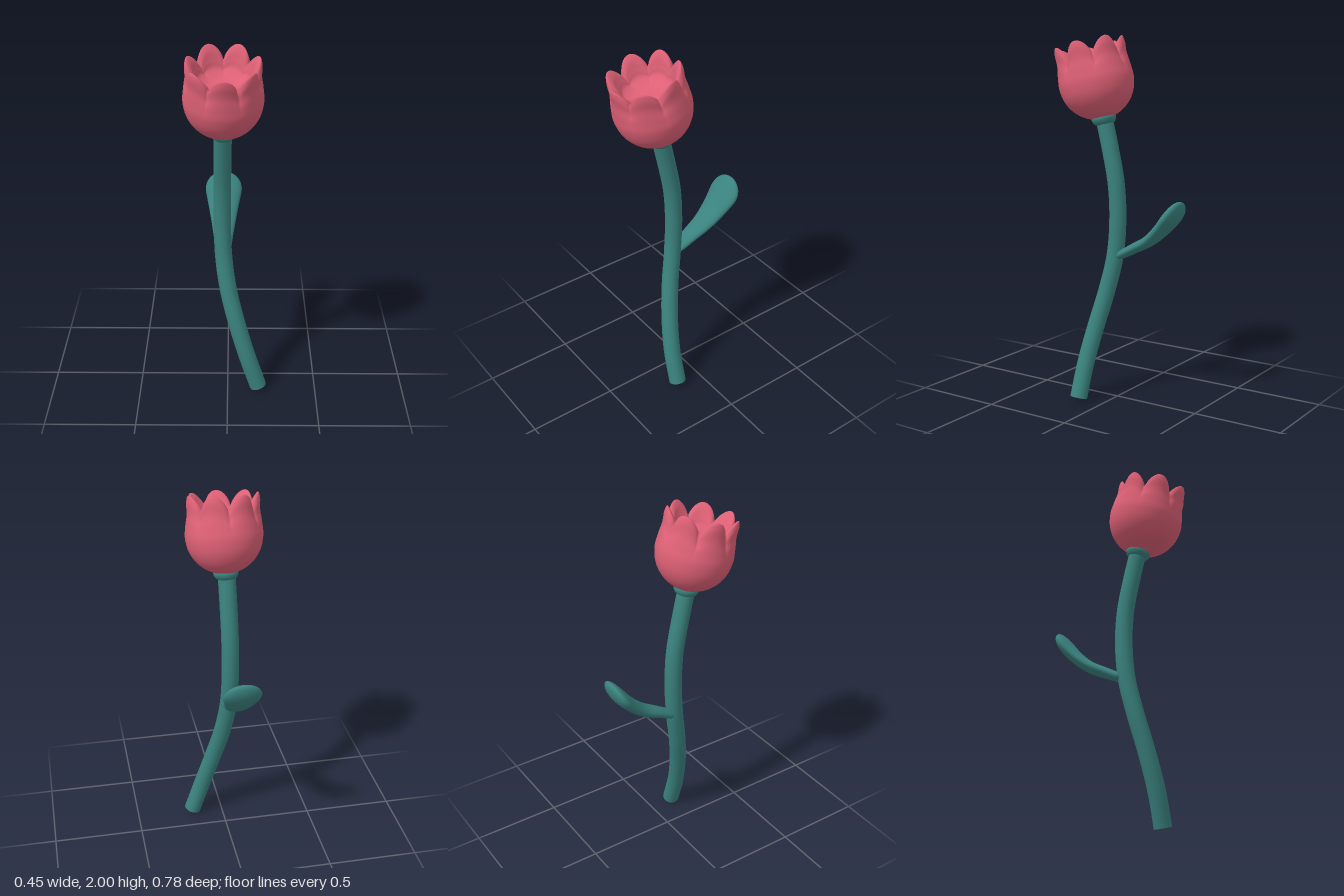
import * as THREE from 'three';
import { mergeVertices } from 'three/addons/utils/BufferGeometryUtils.js';

const teal = new THREE.MeshStandardMaterial({ color: 0x3a827e });
const red = new THREE.MeshStandardMaterial({ color: 0xdd6075 });
const V = (x, y, z) => new THREE.Vector3(x, y, z);

function part(name, geometry, material) {
  const mesh = new THREE.Mesh(geometry, material);
  mesh.name = name;
  return mesh;
}

// Smooth skin over closed rings; point(t, angle) gives a position, t from 0 to 1
function loft(rows, sides, point) {
  const pos = [], index = [];
  for (let j = 0; j <= rows; j++) {
    for (let i = 0; i < sides; i++) pos.push(...point(j / rows, (i / sides) * Math.PI * 2).toArray());
  }
  for (let j = 0; j < rows; j++) {
    for (let i = 0; i < sides; i++) {
      const a = j * sides + i, b = j * sides + ((i + 1) % sides);
      index.push(a, b, b + sides, a, b + sides, a + sides);
    }
  }
  let g = new THREE.BufferGeometry();
  g.setAttribute('position', new THREE.Float32BufferAttribute(pos, 3));
  g.setIndex(index);
  g = mergeVertices(g, 1e-5);
  g.computeVertexNormals();
  return g;
}

// Curved stem with a flat cut end
function makeStem() {
  const stem = new THREE.Group();
  stem.name = 'stem';
  const path = new THREE.CatmullRomCurve3([
    V(0.175, 0.018, 0.143), V(0.115, 0.2, 0.137), V(0.055, 0.4, 0.11), V(0.005, 0.6, 0.07),
    V(-0.023, 0.8, 0.032), V(-0.03, 1.0, 0.018), V(-0.03, 1.2, 0.028), V(-0.028, 1.4, 0.067), V(-0.025, 1.58, 0.11),
  ]);
  stem.add(part('stalk', new THREE.TubeGeometry(path, 48, 0.048, 14), teal));
  const cut = part('cutEnd', new THREE.CircleGeometry(0.048, 14), teal);
  cut.position.copy(path.getPoint(0));
  cut.quaternion.setFromUnitVectors(V(0, 0, 1), path.getTangent(0).negate());
  stem.add(cut);
  return stem;
}

// Thick spoon-shaped leaf: ellipses along a rising path
function makeLeaf() {
  const path = new THREE.CatmullRomCurve3([
    V(-0.026, 0.8, 0.015), V(-0.026, 0.855, -0.09), V(-0.026, 0.91, -0.19),
    V(-0.026, 0.99, -0.28), V(-0.026, 1.065, -0.34), V(-0.026, 1.135, -0.375),
  ]);
  // x: half width, y: half thickness
  const size = new THREE.CatmullRomCurve3([
    V(0.04, 0.024, 0), V(0.052, 0.028, 0), V(0.066, 0.031, 0), V(0.084, 0.035, 0), V(0.104, 0.038, 0), V(0.115, 0.037, 0),
  ]);
  return part('leaf', loft(48, 32, (t, a) => {
    // slow down near both ends so that they close roundly
    const u = 0.5 - 0.5 * Math.cos(Math.PI * t);
    const c = path.getPointAt(u), d = path.getTangentAt(u), s = size.getPoint(u);
    const tip = Math.sqrt(Math.max(0, 1 - Math.max(0, (u - 0.78) / 0.22) ** 2));
    const root = Math.sqrt(Math.max(0, 1 - Math.max(0, (0.06 - u) / 0.06) ** 2));
    const k = tip * root, h = s.y * k * Math.cos(a);
    return V(c.x + s.x * k * Math.sin(a), c.y - d.z * h, c.z + d.y * h);
  }), teal);
}

// Cup with seven rounded petal tips
function makeBlossom() {
  // x: radius, y: height, z: how strongly the petals shape this level
  const profile = new THREE.CatmullRomCurve3([
    V(0, 0.0, 0), V(0.06, 0.008, 0), V(0.115, 0.034, 0), V(0.16, 0.075, 0), V(0.192, 0.13, 0),
    V(0.206, 0.195, 0), V(0.201, 0.25, 0.08), V(0.185, 0.295, 0.4), V(0.177, 0.325, 0.8),
    V(0.163, 0.337, 1), V(0.145, 0.328, 0.85), V(0.13, 0.31, 0.45), V(0.112, 0.295, 0.12),
    V(0.06, 0.282, 0), V(0, 0.28, 0),
  ]);
  return part('petals', loft(72, 168, (t, a) => {
    const p = profile.getPoint(t);
    const lobe = Math.pow(Math.abs(Math.cos(3.5 * a)), 0.7);
    const r = t === 0 || t === 1 ? 0 : Math.max(0, p.x + p.z * 0.03 * (lobe - 0.2));
    return V(r * Math.sin(a), p.y + p.z * 0.085 * lobe, r * Math.cos(a));
  }), red);
}

export function createModel() {
  const model = new THREE.Group();
  model.name = 'flower';
  model.add(makeStem(), makeLeaf());

  // Flower head, leaning forward
  const head = new THREE.Group();
  head.name = 'flowerHead';
  head.position.set(-0.022, 1.555, 0.103);
  head.rotation.x = 0.245;
  const ring = [[0.044, -0.03], [0.056, -0.024], [0.066, -0.008], [0.068, 0.006], [0.062, 0.018], [0.04, 0.024]];
  head.add(part('collar', new THREE.LatheGeometry(ring.map(([r, y]) => new THREE.Vector2(r, y)), 28), teal));
  head.add(makeBlossom());
  model.add(head);
  return model;
}
